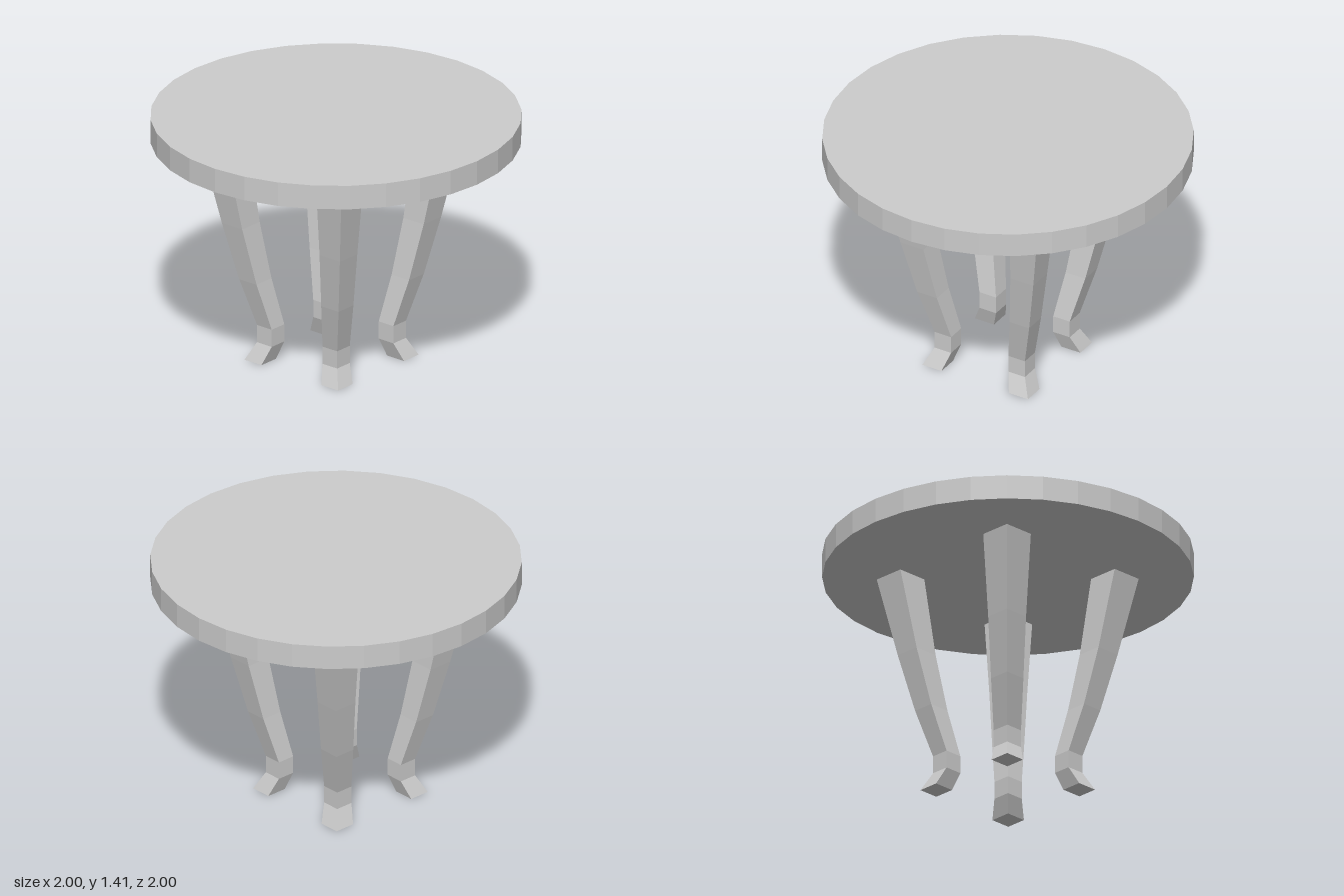
import * as THREE from 'three';
import { ConvexGeometry } from 'three/addons/geometries/ConvexGeometry.js';

const material = new THREE.MeshStandardMaterial({ color: 0xcccccc, flatShading: true });

// Legs are grouped slightly off the middle of the top
const LEG_CENTER = { x: -0.018, z: 0.016 };

// Square leg sections: height, inner and outer distance from the leg centre
const SECTIONS = [
  [0, 0.212, 0.332],
  [0.1, 0.18, 0.284],
  [0.2, 0.18, 0.284],
  [0.47, 0.229, 0.352],
  [0.8, 0.274, 0.418],
  [1.25, 0.317, 0.498],
];

// Round 32-sided top whose underside slopes gently down to the leg corners
function createTabletop() {
  const points = [];
  for (let i = 0; i < 32; i++) {
    const a = (i / 32) * Math.PI * 2;
    for (const y of [1.412, 1.275]) points.push(new THREE.Vector3(Math.cos(a), y, Math.sin(a)));
  }
  const corner = SECTIONS[SECTIONS.length - 1][2];
  for (const sx of [-1, 1]) {
    for (const sz of [-1, 1]) {
      points.push(new THREE.Vector3(LEG_CENTER.x + sx * corner, 1.25, LEG_CENTER.z + sz * corner));
    }
  }
  return new THREE.Mesh(new ConvexGeometry(points), material);
}

// Curved square leg: a box whose rows are moved onto the sections
function createLeg(sx, sz) {
  const rows = SECTIONS.length - 1;
  const box = new THREE.BoxGeometry(1, 1, 1, 1, rows, 1);
  const pos = box.attributes.position;
  for (let i = 0; i < pos.count; i++) {
    const [y, inner, outer] = SECTIONS[Math.round((pos.getY(i) + 0.5) * rows)];
    const middle = (inner + outer) / 2;
    const width = outer - inner;
    pos.setXYZ(
      i,
      LEG_CENTER.x + sx * middle + pos.getX(i) * width,
      y,
      LEG_CENTER.z + sz * middle + pos.getZ(i) * width
    );
  }
  const geometry = box.toNonIndexed();
  geometry.computeVertexNormals();
  return new THREE.Mesh(geometry, material);
}

export function createModel() {
  const table = new THREE.Group();
  table.name = 'roundTable';

  const top = createTabletop();
  top.name = 'tabletop';
  table.add(top);

  for (const [sz, end] of [[1, 'front'], [-1, 'back']]) {
    for (const [sx, side] of [[1, 'Left'], [-1, 'Right']]) {
      const leg = createLeg(sx, sz);
      leg.name = `${end}${side}Leg`;
      table.add(leg);
    }
  }
  return table;
}
